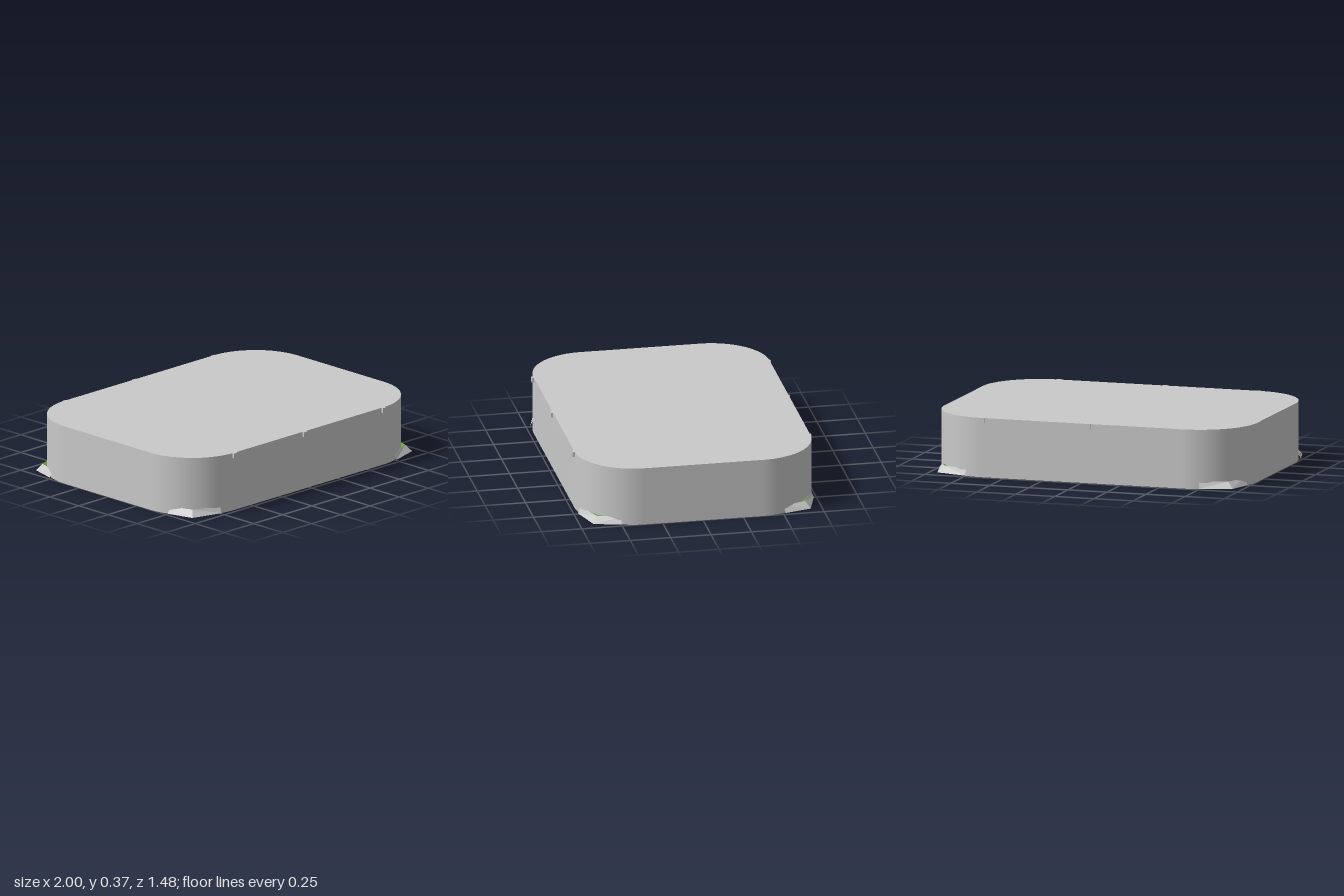
import * as THREE from 'three';

const H = 0.365, HX = 1, HZ = 0.73, R = 0.36, CZ = -0.005;

const material = (name, color, side = THREE.FrontSide) => {
  const m = new THREE.MeshStandardMaterial({ color, side });
  m.name = name;
  return m;
};

// flat-shaded faces from a list of triangles, mirrored by sx and sz
function faces(triangles, sx, sz) {
  const g = new THREE.BufferGeometry();
  const pos = triangles.flat().flatMap(([x, y, z]) => [x * sx, y, z * sz]);
  g.setAttribute('position', new THREE.Float32BufferAttribute(pos, 3));
  g.computeVertexNormals();
  return g;
}

export function createModel() {
  const model = new THREE.Group();
  const grey = material('light grey', 0xc9c9c9, THREE.DoubleSide);
  const green = material('green', 0x6aa03c, THREE.DoubleSide);
  const add = (name, geometry, mat, parent = model) => {
    const mesh = new THREE.Mesh(geometry, mat);
    mesh.name = name;
    parent.add(mesh);
    return mesh;
  };

  // rounded slab
  const s = new THREE.Shape();
  s.moveTo(-HX + R, -HZ);
  s.lineTo(HX - R, -HZ);
  s.absarc(HX - R, -HZ + R, R, -Math.PI / 2, 0);
  s.lineTo(HX, HZ - R);
  s.absarc(HX - R, HZ - R, R, 0, Math.PI / 2);
  s.lineTo(-HX + R, HZ);
  s.absarc(-HX + R, HZ - R, R, Math.PI / 2, Math.PI);
  s.lineTo(-HX, -HZ + R);
  s.absarc(-HX + R, -HZ + R, R, Math.PI, Math.PI * 1.5);
  const slab = new THREE.ExtrudeGeometry(s, { depth: H, bevelEnabled: false, curveSegments: 24 });
  slab.rotateX(-Math.PI / 2);
  // round the normals of the side wall
  const p = slab.attributes.position, n = slab.attributes.normal;
  for (let i = 0; i < p.count; i++) {
    if (Math.abs(n.getY(i)) > 0.5) continue;
    const dx = Math.max(Math.abs(p.getX(i)) - (HX - R), 0) * Math.sign(p.getX(i));
    const dz = Math.max(Math.abs(p.getZ(i)) - (HZ - R), 0) * Math.sign(p.getZ(i));
    const l = Math.hypot(dx, dz);
    n.setXYZ(i, dx / l, 0, dz / l);
  }
  add('slab', slab, grey).position.z = CZ;

  // beam ends standing out at the top of the front and back walls
  for (const x of [-0.64, -0.04, 0.636]) {
    for (const side of [1, -1]) {
      add('beamEnd', new THREE.BoxGeometry(0.03, 0.03, 0.04), grey)
        .position.set(x, H - 0.015, side > 0 ? 0.718 : -0.721);
    }
  }

  // sloping chevron guards with a green infill at each corner
  const outer = [[0.988, 0.004, 0.508], [0.943, 0.004, 0.672], [0.75, 0.004, 0.73]];
  const inner = [[0.962, 0.044, 0.5], [0.912, 0.044, 0.645], [0.745, 0.044, 0.712]];
  const heart = [0.85, 0.02, 0.58];
  const band = [], infill = [];
  for (let i = 0; i < 2; i++) {
    band.push([outer[i], inner[i], outer[i + 1]], [inner[i], inner[i + 1], outer[i + 1]]);
    infill.push([inner[i], heart, inner[i + 1]]);
  }
  for (const sx of [1, -1]) {
    for (const sz of [1, -1]) {
      const corner = new THREE.Group();
      corner.name = 'cornerGuard';
      corner.position.z = CZ;
      add('guardBand', faces(band, sx, sz), grey, corner);
      add('guardInfill', faces(infill, sx, sz), green, corner);
      model.add(corner);
    }
  }
  return model;
}
